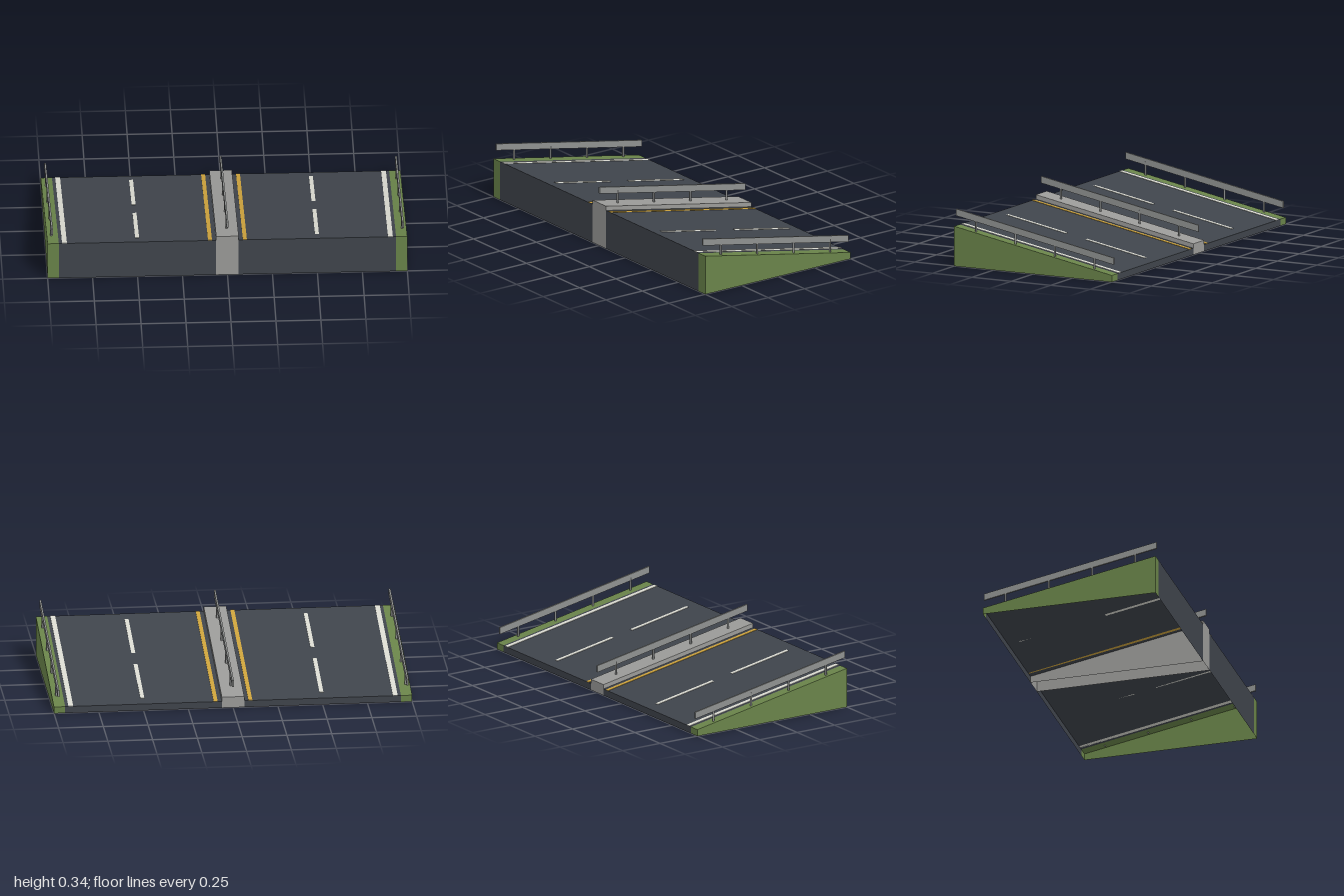
import * as THREE from 'three';

const SLOPE = 0.1875;
const HALF = 0.5;
const ground = (z) => 0.13125 + SLOPE * z;

const mat = (name, color, side = THREE.FrontSide) => {
  const m = new THREE.MeshStandardMaterial({ color, side });
  m.name = name;
  return m;
};

export function createModel() {
  const asphalt = mat('asphalt', 0x3f444b, THREE.DoubleSide);
  const grass = mat('grass', 0x698349, THREE.DoubleSide);
  const concrete = mat('concrete', 0x9a9a98, THREE.DoubleSide);
  const steel = mat('steel', 0x8f9190);
  const white = mat('white paint', 0xd9d9d0);
  const yellow = mat('yellow paint', 0xcca23c);

  const root = new THREE.Group();
  root.name = 'rampRoad';
  const add = (name, geometry, material, parent = root) => {
    const mesh = new THREE.Mesh(geometry, material);
    mesh.name = name;
    parent.add(mesh);
    return mesh;
  };

  // Hollow wedge, open below, keeping only the listed box faces
  // (0 = +x, 1 = -x, 2 = top, 4 = front, 5 = back)
  const shell = (x0, x1, lift, faces) => {
    const g = new THREE.BoxGeometry(x1 - x0, 1, 2 * HALF);
    g.translate((x0 + x1) / 2, 0.5, 0);
    const p = g.attributes.position;
    for (let i = 0; i < p.count; i++) {
      if (p.getY(i) > 0.5) p.setY(i, ground(p.getZ(i)) + lift);
    }
    const all = Array.from(g.index.array);
    g.setIndex(faces.flatMap((f) => all.slice(f * 6, f * 6 + 6)));
    g.clearGroups();
    g.computeVertexNormals();
    return g;
  };

  // Box sheared to follow the slope; y0 and y1 are heights above the road
  const slopedBar = (x, width, y0, y1, z = 0, length = 2 * HALF) => {
    const g = new THREE.BoxGeometry(width, y1 - y0, length);
    g.translate(x, (y0 + y1) / 2, z);
    const p = g.attributes.position;
    for (let i = 0; i < p.count; i++) p.setY(i, p.getY(i) + ground(p.getZ(i)));
    g.computeVertexNormals();
    return g;
  };

  // Guard rail on four upright posts
  const guardRail = (name, x, base) => {
    const group = new THREE.Group();
    group.name = name;
    root.add(group);
    add('railBeam', slopedBar(x, 0.01, base + 0.057, base + 0.095), steel, group);
    const postGeometry = new THREE.CylinderGeometry(0.006, 0.006, 0.08, 8);
    for (const z of [-0.375, -0.125, 0.125, 0.375]) {
      add('railPost', postGeometry, steel, group)
        .position.set(x, ground(z) + base + 0.036, z);
    }
  };

  // Carriageways, verges and their markings, mirrored left and right
  for (const s of [1, -1]) {
    const side = s > 0 ? 'left' : 'right';
    const span = (a, b) => (s > 0 ? [a, b] : [-b, -a]);
    add(`${side}Carriageway`, shell(...span(0.0625, 0.9375), 0, [2, 4, 5]), asphalt);
    add(`${side}Verge`, shell(...span(0.9375, 1), 0, [s > 0 ? 0 : 1, 2, 4, 5]), grass);
    add(`${side}EdgeLine`, slopedBar(s * 0.906, 0.027, 0, 0.002), white);
    add(`${side}MedianLine`, slopedBar(s * 0.097, 0.022, 0, 0.002), yellow);
    for (const z of [-0.25, 0.25]) {
      add(`${side}LaneDash`, slopedBar(s * 0.5, 0.022, 0, 0.002, z, 0.376), white);
    }
    guardRail(`${side}GuardRail`, s * 0.975, 0);
  }

  // Raised median with its own rail
  add('median', shell(-0.0625, 0.0625, 0.025, [0, 1, 2, 4, 5]), concrete);
  guardRail('medianGuardRail', 0, 0.025);

  return root;
}
